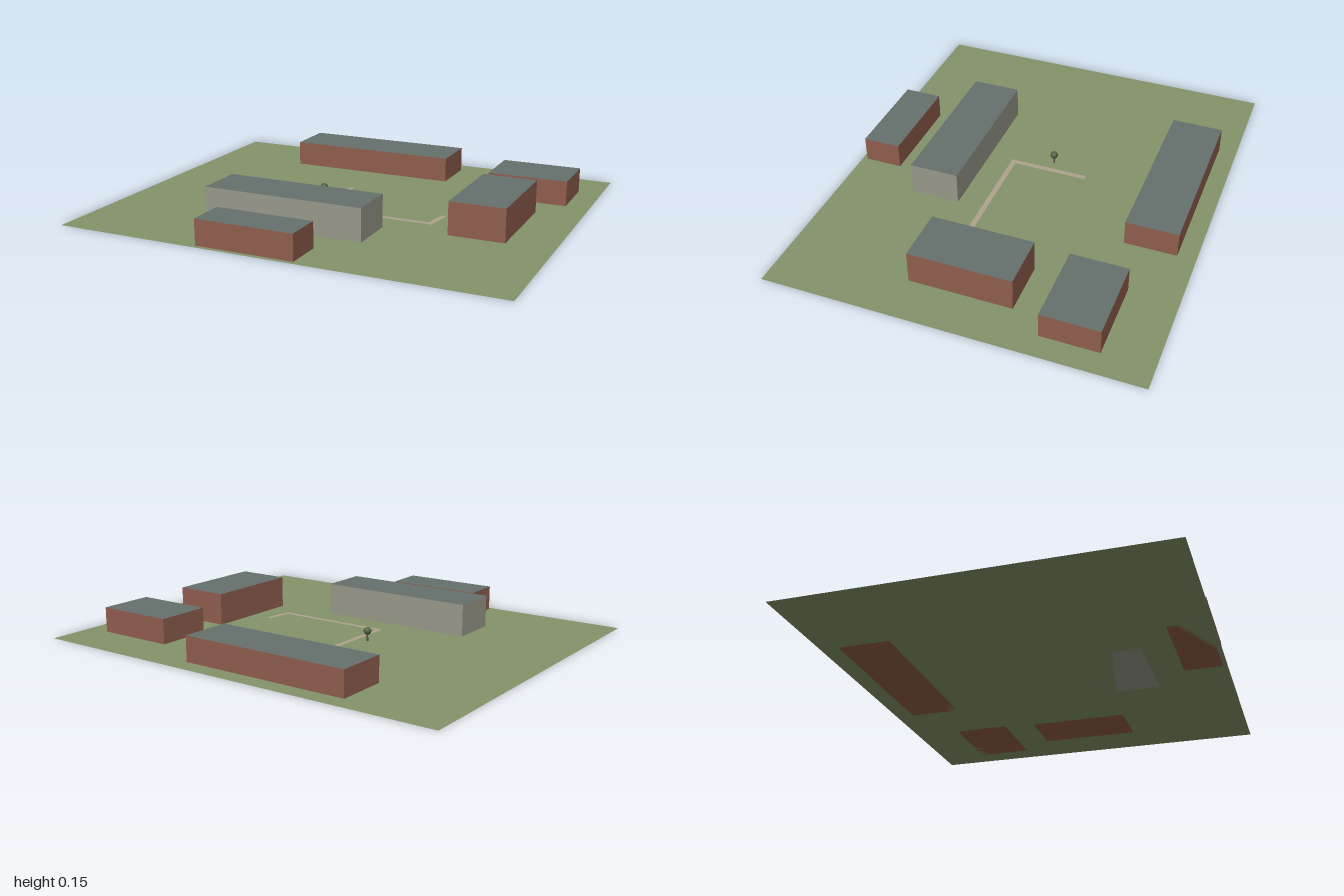
import * as THREE from 'three';

const paint = (color, side = THREE.FrontSide) =>
  new THREE.MeshStandardMaterial({ color, side, flatShading: true });

function add(parent, name, geometry, material, x = 0, y = 0, z = 0) {
  const mesh = new THREE.Mesh(geometry, material);
  mesh.name = name;
  mesh.position.set(x, y, z);
  parent.add(mesh);
  return mesh;
}

const flat = (w, d) => new THREE.PlaneGeometry(w, d).rotateX(-Math.PI / 2);

// Box without its top face, which the roof closes
function wallBox(w, h, d) {
  const box = new THREE.BoxGeometry(w, h, d);
  const index = Array.from(box.index.array);
  index.splice(12, 6);
  box.setIndex(index);
  box.clearGroups();
  return box;
}

export function createModel() {
  const model = new THREE.Group();
  model.name = 'campus';

  const brick = paint(0x8f5d4e);
  const stone = paint(0x97978a);
  const slate = paint(0x65706c);

  // Lawn
  add(model, 'lawn', flat(2, 1.65), paint(0x83936a, THREE.DoubleSide));

  // Buildings: name, x range, z range, height, wall material
  const buildings = [
    ['backHall', -0.546, 0.258, -0.742, -0.507, 0.115, brick],
    ['backLeftHouse', 0.525, 0.893, -0.606, -0.352, 0.115, brick],
    ['leftHall', 0.545, 0.793, -0.207, 0.253, 0.148, brick],
    ['stoneHall', -0.48, 0.258, 0.27, 0.493, 0.148, stone],
    ['frontHouse', -0.336, 0.113, 0.632, 0.804, 0.115, brick],
  ];
  for (const [name, x0, x1, z0, z1, h, material] of buildings) {
    const building = new THREE.Group();
    building.name = name;
    building.position.set((x0 + x1) / 2, 0, (z0 + z1) / 2);
    add(building, 'walls', wallBox(x1 - x0, h, z1 - z0), material, 0, h / 2, 0);
    add(building, 'roof', flat(x1 - x0, z1 - z0), slate, 0, h, 0);
    model.add(building);
  }

  // Footpath, a mitred strip lying just above the lawn (x, z outline)
  const outline = [
    [-0.122, -0.21], [-0.122, 0.157], [0.436, 0.157], [0.457, 0.022],
    [0.433, 0.018], [0.416, 0.133], [-0.098, 0.133], [-0.098, -0.21],
  ].map(([x, z]) => new THREE.Vector2(x, -z));
  const path = new THREE.ShapeGeometry(new THREE.Shape(outline)).rotateX(-Math.PI / 2);
  add(model, 'footpath', path, paint(0xaea38c, THREE.DoubleSide), 0, 0.002, 0);

  // Small tree
  const tree = new THREE.Group();
  tree.name = 'tree';
  tree.position.set(-0.17, 0, -0.035);
  add(tree, 'trunk', new THREE.CylinderGeometry(0.003, 0.004, 0.036, 6), paint(0x5a4636), 0, 0.018, 0);
  add(tree, 'crown', new THREE.IcosahedronGeometry(0.018, 1), paint(0x4a5f3c), 0, 0.045, 0);
  model.add(tree);

  return model;
}
